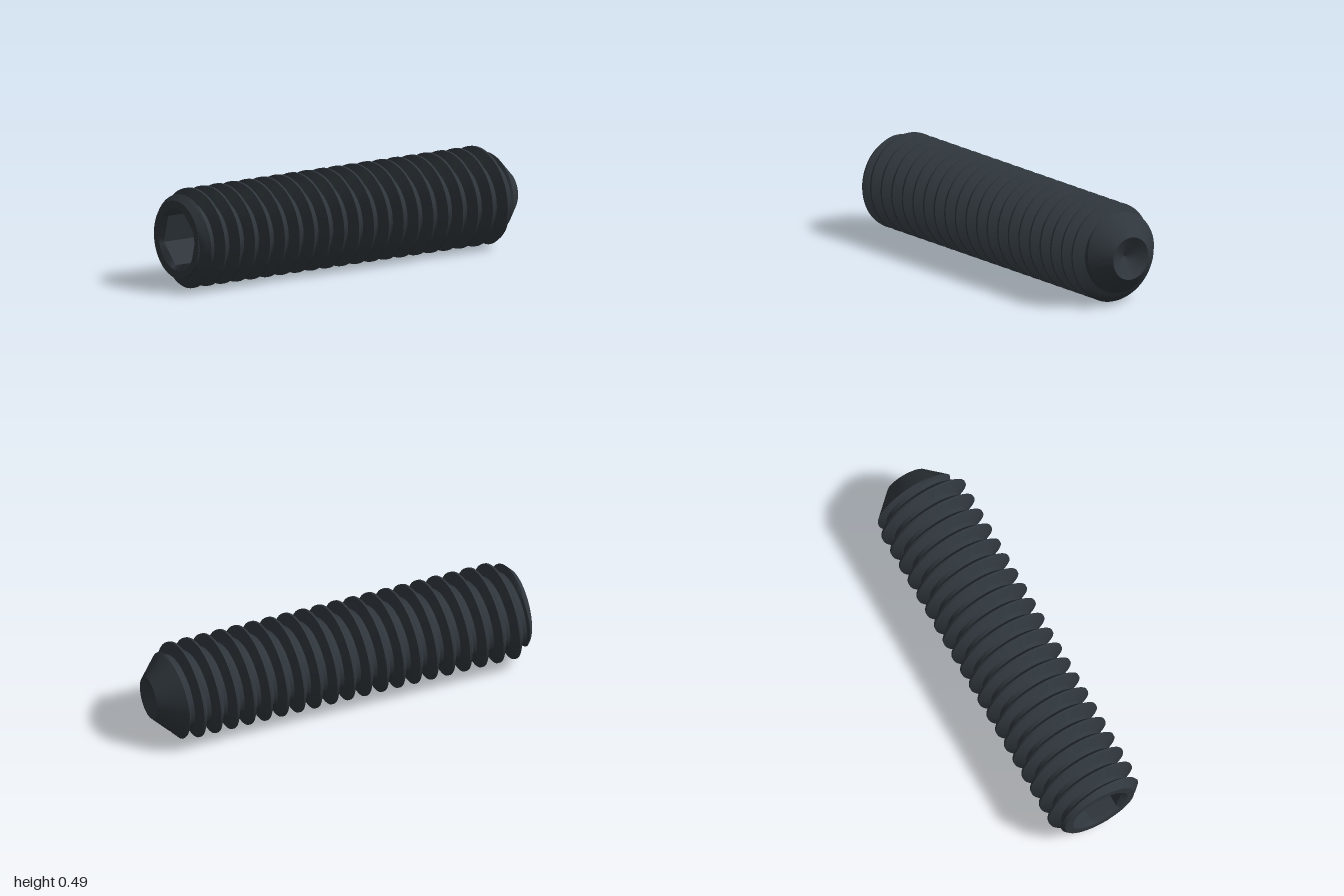
import * as THREE from 'three';
import { toCreasedNormals } from 'three/addons/utils/BufferGeometryUtils.js';

const SEGMENTS = 96;
const START = -0.983, END = 0.993;       // axial ends of the screw
const PITCH = 0.0892, PHASE = -0.878;    // right-hand thread, crest position at the top
const CREST = 0.247, ROOT = 0.192;
const START_R = 0.195, RIM_R = 0.107;    // end radii of chamfer and cone
const TAU = Math.PI * 2;

// Radius of the threaded shank, trimmed by the 45 degree chamfer and cone
function shankRadius(s, phi) {
  const turns = (s - PHASE) / PITCH - phi / TAU;
  const d = Math.abs(turns - Math.round(turns));
  const t = THREE.MathUtils.clamp((d - 0.0625) / (0.375 - 0.0625), 0, 1);
  const thread = THREE.MathUtils.lerp(CREST, ROOT, t);
  return Math.min(thread, START_R + s - START, RIM_R + END - s);
}

// Hexagon outline as a radius around the axis
function hexRadius(phi) {
  const sector = Math.PI / 3, turn = Math.PI / 12;
  const a = (((phi - turn) % sector) + sector) % sector;
  return 0.123 / Math.cos(a - sector / 2);
}

// Surface around the x axis; point(row, phi) returns [axial position, radius]
function surface(name, rows, point, material) {
  const positions = [], index = [];
  for (let i = 0; i < rows; i++) {
    for (let j = 0; j <= SEGMENTS; j++) {
      const phi = (j / SEGMENTS) * TAU;
      const [s, r] = point(i, phi);
      positions.push(s, r * Math.cos(phi), r * Math.sin(phi));
    }
  }
  const n = SEGMENTS + 1;
  const same = (a, b) => [0, 1, 2].every(k => Math.abs(positions[a * 3 + k] - positions[b * 3 + k]) < 1e-7);
  const face = (a, b, c) => {
    if (!same(a, b) && !same(b, c) && !same(a, c)) index.push(a, b, c);
  };
  for (let i = 0; i < rows - 1; i++) {
    for (let j = 0; j < SEGMENTS; j++) {
      const a = i * n + j, b = a + 1, c = a + n, d = c + 1;
      face(a, b, c);
      face(b, d, c);
    }
  }
  const geometry = new THREE.BufferGeometry();
  geometry.setAttribute('position', new THREE.Float32BufferAttribute(positions, 3));
  geometry.setIndex(index);
  const mesh = new THREE.Mesh(toCreasedNormals(geometry, 0.5), material);
  mesh.name = name;
  return mesh;
}

export function createModel() {
  const steel = new THREE.MeshStandardMaterial({ color: 0x30373d });
  steel.name = 'dark steel';
  const screw = new THREE.Group();
  screw.name = 'setScrew';

  // Threaded shank: profile rows follow the helix and are clamped at both ends
  const offsets = [-0.5, -0.375, -0.27, -0.165, -0.0625, 0.0625, 0.165, 0.27, 0.375];
  const turns = Math.ceil((END - START) / PITCH) + 4;
  screw.add(surface('threadedShank', turns * offsets.length, (i, phi) => {
    const turn = Math.floor(i / offsets.length) - 3 + offsets[i % offsets.length];
    const s = THREE.MathUtils.clamp(PHASE + (turn + phi / TAU) * PITCH, START, END);
    return [s, shankRadius(s, phi)];
  }, steel));

  // Hexagonal socket: floor, then walls
  screw.add(surface('hexSocket', 3, (i, phi) => [
    [START + 0.3, 0],
    [START + 0.3, hexRadius(phi)],
    [START + 0.02, hexRadius(phi)],
  ][i], steel));

  // Countersink around the socket and the flat end ring
  screw.add(surface('socketEndFace', 3, (i, phi) => [
    [START + 0.02, hexRadius(phi)],
    [START, 0.155],
    [START, shankRadius(START, phi)],
  ][i], steel));

  // Conical hollow in the pointed end
  screw.add(surface('cupPoint', 2, i => [[END, RIM_R], [END - 0.06, 0]][i], steel));

  screw.position.set(0, CREST, 0);
  screw.rotation.y = -0.21;
  const model = new THREE.Group();
  model.name = 'model';
  model.add(screw);
  return model;
}
